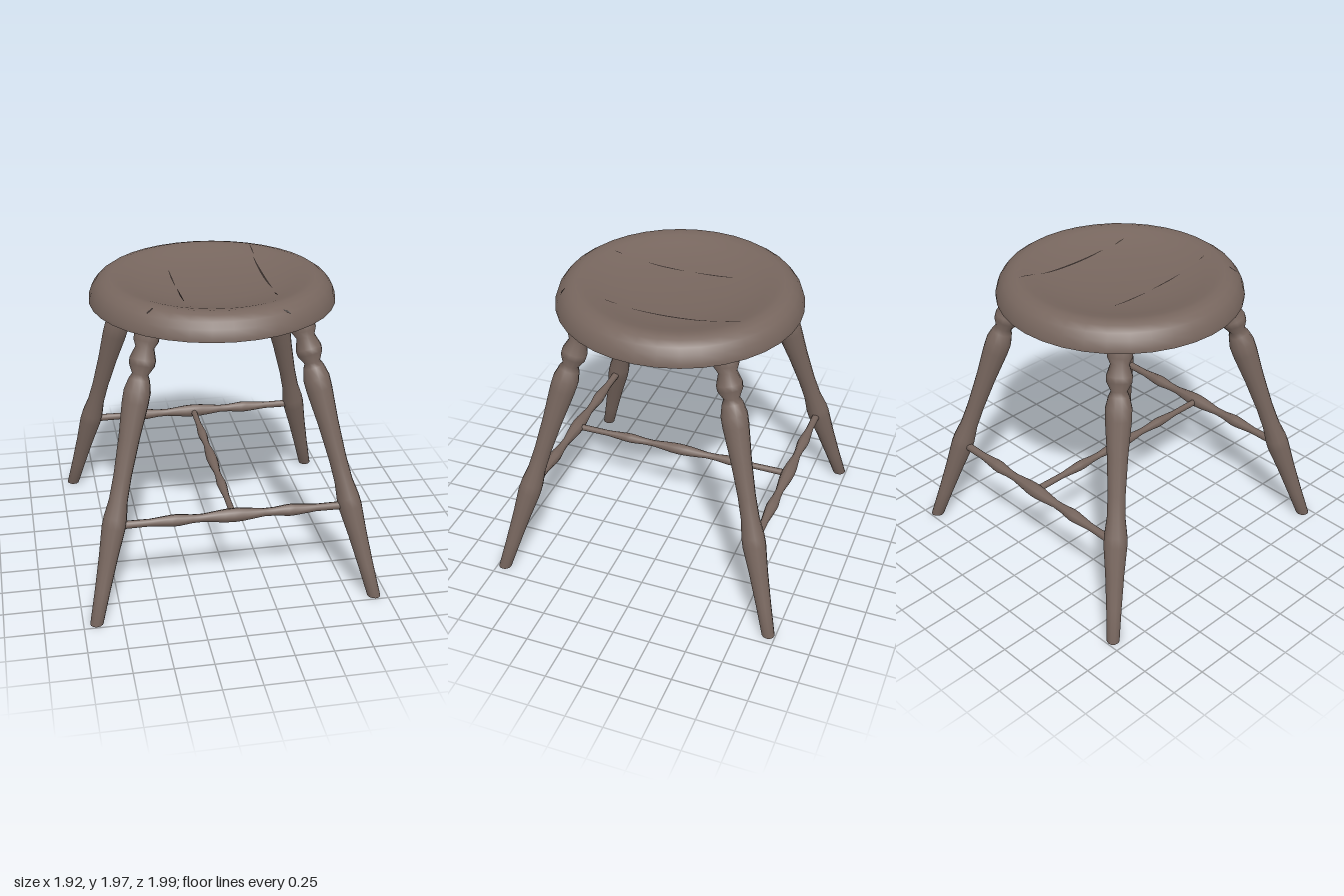
import * as THREE from 'three';

const wood = new THREE.MeshStandardMaterial({ color: 0x77665e });
wood.name = 'weathered wood';
const dark = new THREE.MeshStandardMaterial({ color: 0x332b28, side: THREE.DoubleSide });
dark.name = 'dark crack';

const vecs = (pts) => pts.map(([r, y]) => new THREE.Vector2(r, y));

// Upper profile of the seat, from lower rim over the rounded edge into the dish
const topProfile = [
  [0.803, 1.81], [0.802, 1.835], [0.785, 1.885], [0.755, 1.925], [0.715, 1.953],
  [0.67, 1.965], [0.62, 1.958], [0.55, 1.938], [0.45, 1.912], [0.32, 1.892], [0.16, 1.88], [0, 1.876],
];
const underProfile = [[0, 1.785], [0.54, 1.785], [0.63, 1.79], [0.803, 1.81]];

// Height of the seat's upper surface at a radius
function seatHeight(r) {
  for (let i = 1; i < topProfile.length; i++) {
    const [r0, y0] = topProfile[i - 1], [r1, y1] = topProfile[i];
    if (r >= r1 && r <= r0) return y1 + (y0 - y1) * (r - r1) / (r0 - r1);
  }
  return 1.81;
}

function addMesh(parent, name, geometry, material) {
  const mesh = new THREE.Mesh(geometry, material);
  mesh.name = name;
  parent.add(mesh);
  return mesh;
}

// Thin plate laid on the seat: a grid whose vertices follow the dish
function surfacePlate(width, length, x, z, turn = 0, taper = false) {
  const geo = new THREE.PlaneGeometry(width, length, 1, 12);
  geo.rotateX(-Math.PI / 2);
  const p = geo.attributes.position;
  if (taper) {
    for (let i = 0; i < p.count; i++) {
      const t = Math.abs(p.getZ(i)) / (length / 2);
      p.setX(i, p.getX(i) * (1 - 0.75 * t * t));
    }
  }
  geo.rotateY(turn);
  geo.translate(x, 0, z);
  for (let i = 0; i < p.count; i++) {
    p.setY(i, seatHeight(Math.hypot(p.getX(i), p.getZ(i))) + 0.003);
  }
  geo.computeVertexNormals();
  return geo;
}

// Leg radii against height along the axis
const legProfile = [
  [0, -0.05], [0.042, -0.05], [0.05, 0.2], [0.062, 0.42], [0.077, 0.6], [0.075, 0.66], [0.06, 0.77],
  [0.058, 0.92], [0.068, 1.15], [0.085, 1.36], [0.086, 1.43], [0.068, 1.5], [0.052, 1.53],
  [0.082, 1.585], [0.084, 1.62], [0.06, 1.69], [0.08, 1.73], [0.082, 1.83], [0, 1.83],
];

// Turned leg, splayed outwards and cut level with the floor
function makeLeg(sx, sz) {
  const foot = new THREE.Vector3(0.915 * sx, 0, 0.95 * sz);
  const top = new THREE.Vector3(0.485 * sx, 1.79, 0.47 * sz);
  const axis = top.clone().sub(foot);
  const stretch = axis.length() / 1.79;
  axis.normalize();
  const geo = new THREE.LatheGeometry(vecs(legProfile.map(([r, y]) => [r, y * stretch])), 12);
  geo.applyQuaternion(new THREE.Quaternion().setFromUnitVectors(new THREE.Vector3(0, 1, 0), axis));
  geo.translate(foot.x, 0, foot.z);
  const p = geo.attributes.position;
  for (let i = 0; i < p.count; i++) {
    const y = p.getY(i);
    if (y < 0.06) {
      const k = -y / axis.y;
      p.setXYZ(i, p.getX(i) + axis.x * k, 0, p.getZ(i) + axis.z * k);
    }
  }
  return geo;
}

// Slim turned bar with three swellings, lying along x
function makeStretcher(half, scale) {
  const side = [[0.047, 0], [0.044, 0.06], [0.027, 0.2], [0.029, 0.27], [0.04, 0.36], [0.039, 0.4], [0.025, 0.54], [0.027, half]];
  const all = [...side.slice(1).reverse().map(([r, y]) => [r, -y]), ...side];
  const geo = new THREE.LatheGeometry(vecs(all.map(([r, y]) => [r * scale, y])), 8);
  geo.rotateZ(-Math.PI / 2);
  return geo;
}

export function createModel() {
  const stool = new THREE.Group();
  stool.name = 'stool';

  // Dished round seat
  const seat = new THREE.Group();
  seat.name = 'seat';
  stool.add(seat);
  addMesh(seat, 'seatTop', new THREE.LatheGeometry(vecs(topProfile), 36), wood);
  addMesh(seat, 'seatUnderside', new THREE.LatheGeometry(vecs(underProfile), 36), wood);

  // Cracks along the grain: width, length, x, z
  const cracks = [
    [0.009, 0.27, -0.242, -0.15], [0.009, 0.26, -0.235, 0.18], [0.006, 0.05, -0.228, 0.52],
    [0.007, 0.13, 0.362, -0.475], [0.013, 0.56, 0.357, -0.09], [0.007, 0.09, 0.352, 0.335],
  ];
  for (const [w, l, x, z] of cracks) {
    addMesh(seat, 'crack', surfacePlate(w, l, x, z, 0.012, true), dark);
  }
  // Small nicks in the rim
  addMesh(seat, 'nick', surfacePlate(0.045, 0.012, -0.48, 0.545, 0.5), dark);
  addMesh(seat, 'nick', surfacePlate(0.045, 0.012, 0.345, 0.665, -0.2, true), dark);

  // Four splayed legs
  for (const sx of [-1, 1]) {
    for (const sz of [-1, 1]) {
      const name = (sz > 0 ? 'front' : 'back') + (sx > 0 ? 'Left' : 'Right') + 'Leg';
      addMesh(stool, name, makeLeg(sx, sz), wood);
    }
  }

  // Stretchers in an H: front, back and the cross bar between them
  for (const sz of [-1, 1]) {
    const bar = addMesh(stool, sz > 0 ? 'frontStretcher' : 'backStretcher', makeStretcher(0.75, 1), wood);
    bar.position.set(0, 0.608, 0.784 * sz);
  }
  const cross = addMesh(stool, 'crossStretcher', makeStretcher(0.77, 0.82), wood);
  cross.rotation.y = Math.PI / 2;
  cross.position.y = 0.606;

  return stool;
}
